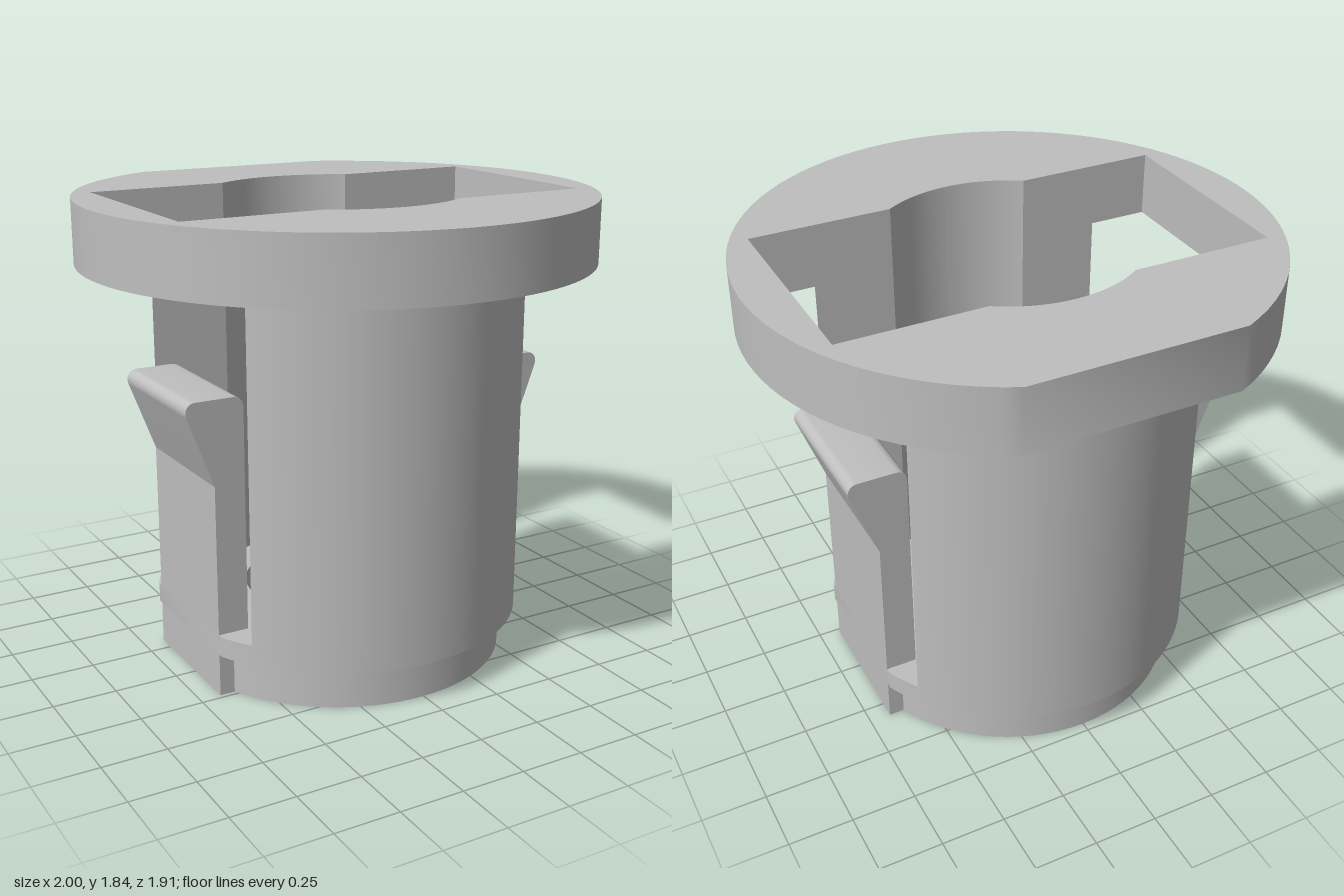
import * as THREE from 'three';
import { toCreasedNormals } from 'three/addons/utils/BufferGeometryUtils.js';

const FLANGE_R = 1, BODY_R = 0.73, BASE_R = 0.667, BORE_R = 0.503, HOLE_R = 0.377;
const SLOT_X = 0.835, SLOT_Z = 0.417, FLAT_Z = 0.912, ARM_HALF = 0.275;

function extrude(shape, depth) {
  return new THREE.ExtrudeGeometry(shape, { depth, bevelEnabled: false, curveSegments: 40 });
}

// Extrude a plan shape (shape y points to the back) between two heights
function slab(shape, y0, y1) {
  const g = extrude(shape, y1 - y0);
  g.rotateX(-Math.PI / 2).translate(0, y0, 0);
  return toCreasedNormals(g, 0.5);
}

function circlePath(r) {
  return new THREE.Path().absarc(0, 0, r, 0, Math.PI * 2, true);
}

export function createModel() {
  const model = new THREE.Group();
  const grey = new THREE.MeshStandardMaterial({ color: 0xbfbfbf });
  grey.name = 'light grey';
  const add = (name, geometry) => {
    const mesh = new THREE.Mesh(geometry, grey);
    mesh.name = name;
    model.add(mesh);
    return mesh;
  };

  const bore = Math.asin(SLOT_Z / BORE_R);
  const wall = Math.asin(SLOT_Z / BODY_R);

  // Top flange: disc with one flat at the back and a keyhole slot
  const flat = Math.asin(FLAT_Z / FLANGE_R);
  const flange = new THREE.Shape();
  flange.absarc(0, 0, FLANGE_R, Math.PI - flat, Math.PI * 2 + flat, false);
  flange.closePath();
  const slot = new THREE.Path();
  slot.moveTo(SLOT_X, -SLOT_Z);
  slot.lineTo(SLOT_X, SLOT_Z);
  slot.absarc(0, 0, BORE_R, bore, Math.PI - bore, false);
  slot.lineTo(-SLOT_X, SLOT_Z);
  slot.lineTo(-SLOT_X, -SLOT_Z);
  slot.absarc(0, 0, BORE_R, Math.PI + bore, Math.PI * 2 - bore, false);
  slot.closePath();
  flange.holes.push(slot);
  add('flange', slab(flange, 1.59, 1.84));

  // Two curved body walls, back and front
  const wallShape = new THREE.Shape();
  wallShape.absarc(0, 0, BODY_R, wall, Math.PI - wall, false);
  wallShape.absarc(0, 0, BORE_R, Math.PI - bore, bore, true);
  wallShape.closePath();
  const wallGeometry = slab(wallShape, 0.17, 1.59);
  add('backWall', wallGeometry);
  add('frontWall', wallGeometry).rotation.y = Math.PI;

  // Collar under the side openings, trimmed flat on both sides
  const trim = Math.acos(BASE_R / BODY_R);
  const collar = new THREE.Shape();
  collar.absarc(0, 0, BODY_R, trim, Math.PI - trim, false);
  collar.absarc(0, 0, BODY_R, Math.PI + trim, Math.PI * 2 - trim, false);
  collar.closePath();
  collar.holes.push(circlePath(HOLE_R));
  add('collar', slab(collar, 0.17, 0.25));

  // Narrower base ring
  const base = new THREE.Shape();
  base.absarc(0, 0, BASE_R, 0, Math.PI * 2, false);
  base.holes.push(circlePath(HOLE_R));
  add('baseRing', slab(base, 0, 0.17));

  // Snap arms with a hooked, rounded tip
  const arm = new THREE.Shape();
  arm.moveTo(0.545, 0);
  arm.lineTo(BASE_R, 0);
  arm.lineTo(BASE_R, 0.84);
  arm.lineTo(0.77, 1.115);
  arm.bezierCurveTo(0.781, 1.145, 0.762, 1.17, 0.735, 1.17);
  arm.lineTo(0.59, 1.17);
  arm.quadraticCurveTo(0.545, 1.17, 0.545, 1.125);
  arm.closePath();
  const armGeometry = toCreasedNormals(extrude(arm, ARM_HALF * 2).translate(0, 0, -ARM_HALF), 0.3);
  add('leftSnapArm', armGeometry);
  add('rightSnapArm', armGeometry).rotation.y = Math.PI;

  // Centre the flattened outline in depth
  for (const part of model.children) part.position.z = -0.044;
  return model;
}
